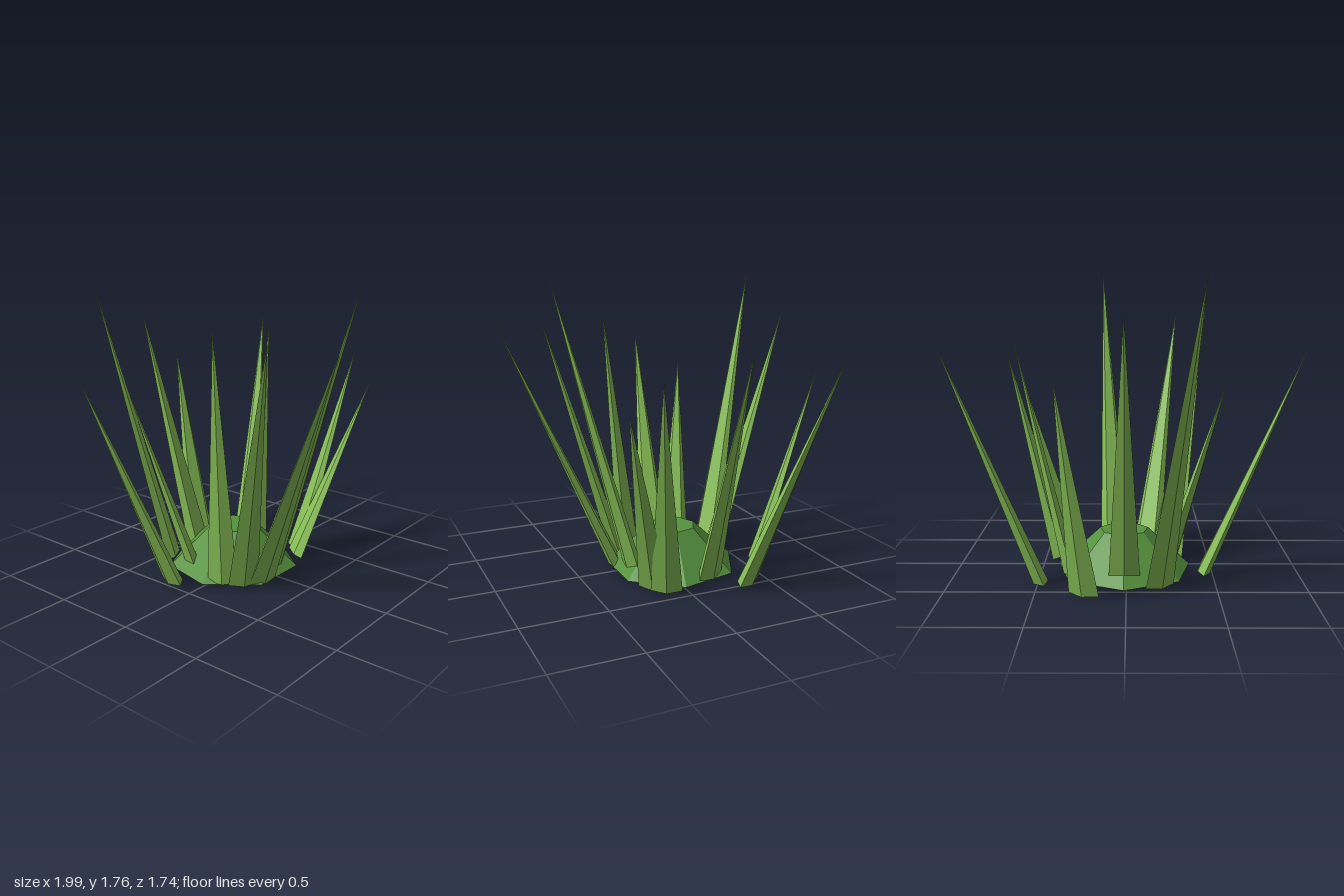
import * as THREE from 'three';

export function createModel() {
  const group = new THREE.Group();
  const leafGreen = new THREE.MeshStandardMaterial({ color: 0x88c057, flatShading: true });
  leafGreen.name = 'leafGreen';
  const moundGreen = new THREE.MeshStandardMaterial({ color: 0x57933f, flatShading: true });
  moundGreen.name = 'moundGreen';

  // Seven-sided mound the blades grow from, one corner pointing back
  const moundGeo = new THREE.CylinderGeometry(0.145, 0.4, 0.24, 7);
  moundGeo.rotateY(Math.PI);
  const mound = new THREE.Mesh(moundGeo, moundGreen);
  mound.name = 'mound';
  mound.position.set(0.015, 0.135, -0.095);
  group.add(mound);

  // Blades: base x, base z, tip x, tip height, tip z
  const blades = [
    [-0.45, -0.175, -1.0, 1.32, -0.28],
    [-0.22, -0.22, -0.55, 1.17, -0.4],
    [-0.18, -0.43, -0.4, 1.73, -0.82],
    [0.012, -0.37, 0.01, 1.53, -0.84],
    [0.225, -0.56, 0.355, 1.21, -0.87],
    [0.49, -0.355, 0.99, 1.4, -0.62],
    [0.33, -0.19, 0.625, 1.39, -0.29],
    [0.4, 0.115, 0.75, 1.29, 0.295],
    [0.33, 0.16, 0.68, 1.12, 0.45],
    [0.07, 0.18, 0.16, 1.77, 0.685],
    [-0.12, 0.23, -0.33, 1.5, 0.865],
    [-0.22, 0.17, -0.505, 1.53, 0.555],
    [-0.28, 0.07, -0.46, 1.53, 0.16],
  ];

  // Flattened five-sided spike, ridge facing outward
  const y0 = 0.025;
  for (const [bx, bz, tx, ty, tz] of blades) {
    const base = new THREE.Vector3(bx, y0, bz);
    const dir = new THREE.Vector3(tx, ty, tz).sub(base);
    const length = dir.length();
    dir.normalize();
    const side = new THREE.Vector3(0, 1, 0).cross(dir).normalize();
    const outward = side.clone().cross(dir).normalize();

    const geo = new THREE.ConeGeometry(0.095, length, 5);
    geo.translate(0, length / 2, 0);
    geo.scale(1, 1, 0.42);
    const blade = new THREE.Mesh(geo, leafGreen);
    blade.name = 'blade';
    blade.quaternion.setFromRotationMatrix(
      new THREE.Matrix4().makeBasis(side, dir, outward));
    blade.position.copy(base);
    group.add(blade);
  }
  return group;
}
